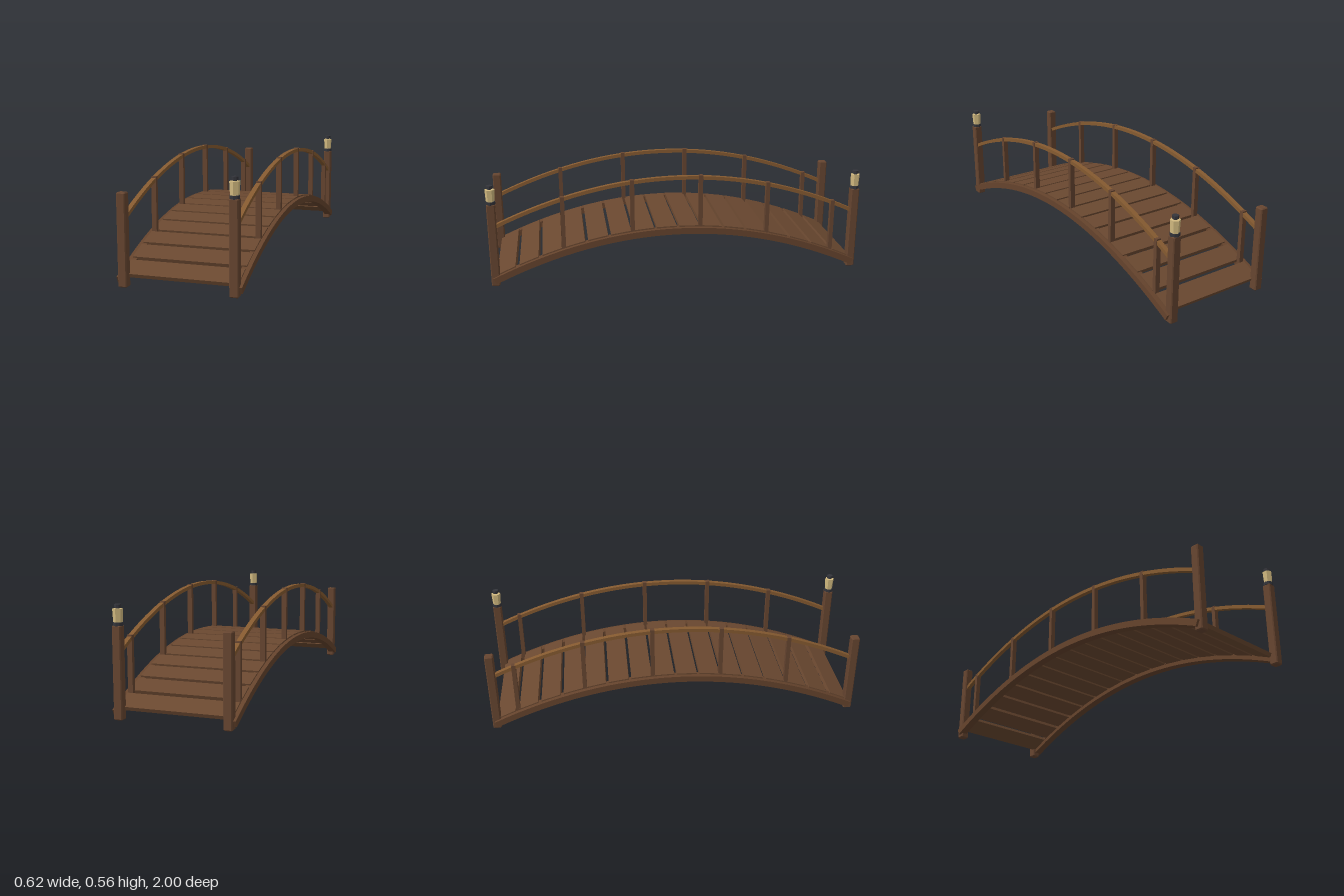
import * as THREE from 'three';

const END = 0.975;      // z of the corner posts
const SIDE = 0.276;     // x of posts and railings
const BOW = 0.242;      // curvature of the arch
const arch = (z) => -BOW * z * z;

// Curved bar with a rectangular section, following the arch along z
function archBar(width, thick, midY, endZ, steps) {
  const top = [], bottom = [];
  for (let i = 0; i <= steps; i++) {
    const z = -endZ + (2 * endZ * i) / steps;
    const slope = Math.atan(-2 * BOW * z);
    const dz = -Math.sin(slope) * thick / 2, dy = Math.cos(slope) * thick / 2;
    top.push(new THREE.Vector2(z + dz, midY + arch(z) + dy));
    bottom.unshift(new THREE.Vector2(z - dz, midY + arch(z) - dy));
  }
  const geo = new THREE.ExtrudeGeometry(new THREE.Shape([...top, ...bottom]), { depth: width, bevelEnabled: false });
  return geo.translate(0, 0, -width / 2).rotateY(-Math.PI / 2);
}

// Square post with chamfered edges, standing on y = 0
function chamferedPost(width, height, bevel) {
  const h = width / 2, c = h - bevel;
  const shape = new THREE.Shape([
    [-h, -c], [-c, -h], [c, -h], [h, -c], [h, c], [c, h], [-c, h], [-h, c],
  ].map(([x, y]) => new THREE.Vector2(x, y)));
  const geo = new THREE.ExtrudeGeometry(shape, {
    depth: height - 2 * bevel, bevelThickness: bevel, bevelSize: bevel, bevelOffset: -bevel, bevelSegments: 1,
  });
  return geo.translate(0, 0, bevel).rotateX(-Math.PI / 2);
}

// Faceted cylinder between two heights
function faceted(rTop, rBottom, y0, y1, sides) {
  const geo = new THREE.CylinderGeometry(rTop, rBottom, y1 - y0, sides).toNonIndexed();
  geo.computeVertexNormals();
  return geo.translate(0, (y0 + y1) / 2, 0);
}

export function createModel() {
  const mat = (name, color) => {
    const m = new THREE.MeshStandardMaterial({ color });
    m.name = name;
    return m;
  };
  const plankWood = mat('plankWood', 0x6a4830);
  const postWood = mat('postWood', 0x664530);
  const beamWood = mat('beamWood', 0x65432c);
  const railWood = mat('railWood', 0x855a30);
  const iron = mat('darkIron', 0x34353b);
  const glass = mat('lanternGlass', 0xd2ba80);

  const bridge = new THREE.Group();
  bridge.name = 'archedBridge';
  const add = (parent, name, geo, material, x = 0, y = 0, z = 0) => {
    const mesh = new THREE.Mesh(geo, material);
    mesh.name = name;
    mesh.position.set(x, y, z);
    parent.add(mesh);
    return mesh;
  };

  // Deck planks, each tilted along the arch
  const count = 16, pitch = 0.122;
  const plankGeo = new THREE.BoxGeometry(0.58, 0.02, 0.109);
  for (let i = 0; i < count; i++) {
    const z = (i - (count - 1) / 2) * pitch;
    const plank = add(bridge, 'plank', plankGeo, plankWood, 0, 0.277 + arch(z), z);
    plank.rotation.x = Math.atan(2 * BOW * z);
  }

  const beamGeo = archBar(0.044, 0.034, 0.263, 0.978, 32);
  const railGeo = archBar(0.024, 0.019, 0.552, 0.962, 32);
  const postGeo = chamferedPost(0.045, 0.453, 0.005);

  for (const side of [-1, 1]) {
    // Side beam and handrail
    add(bridge, 'sideBeam', beamGeo, beamWood, side * 0.289);
    add(bridge, 'handrail', railGeo, railWood, side * SIDE);

    // Balusters at every third plank joint
    for (const joint of [5, 2, -1, -4, -7]) {
      const z = joint * pitch;
      const y0 = 0.268 + arch(z), y1 = 0.565 + arch(z);
      add(bridge, 'baluster', new THREE.BoxGeometry(0.026, y1 - y0, 0.022), postWood, side * SIDE, (y0 + y1) / 2, z);
    }

    // Corner posts
    for (const end of [-1, 1]) add(bridge, 'cornerPost', postGeo, postWood, side * SIDE, 0, end * END);
  }

  // Lanterns on the left-hand posts
  for (const end of [-1, 1]) {
    const lantern = new THREE.Group();
    lantern.name = 'lantern';
    lantern.position.set(SIDE - 0.001, 0, end * END);
    add(lantern, 'lanternCollar', faceted(0.025, 0.025, 0.45, 0.467, 8), iron);
    add(lantern, 'lanternGlass', faceted(0.0255, 0.022, 0.467, 0.53, 6), glass);
    add(lantern, 'lanternNeck', faceted(0.009, 0.009, 0.53, 0.536, 8), iron);
    add(lantern, 'lanternCap', faceted(0.0165, 0.0165, 0.535, 0.551, 8), iron);
    bridge.add(lantern);
  }
  return bridge;
}
